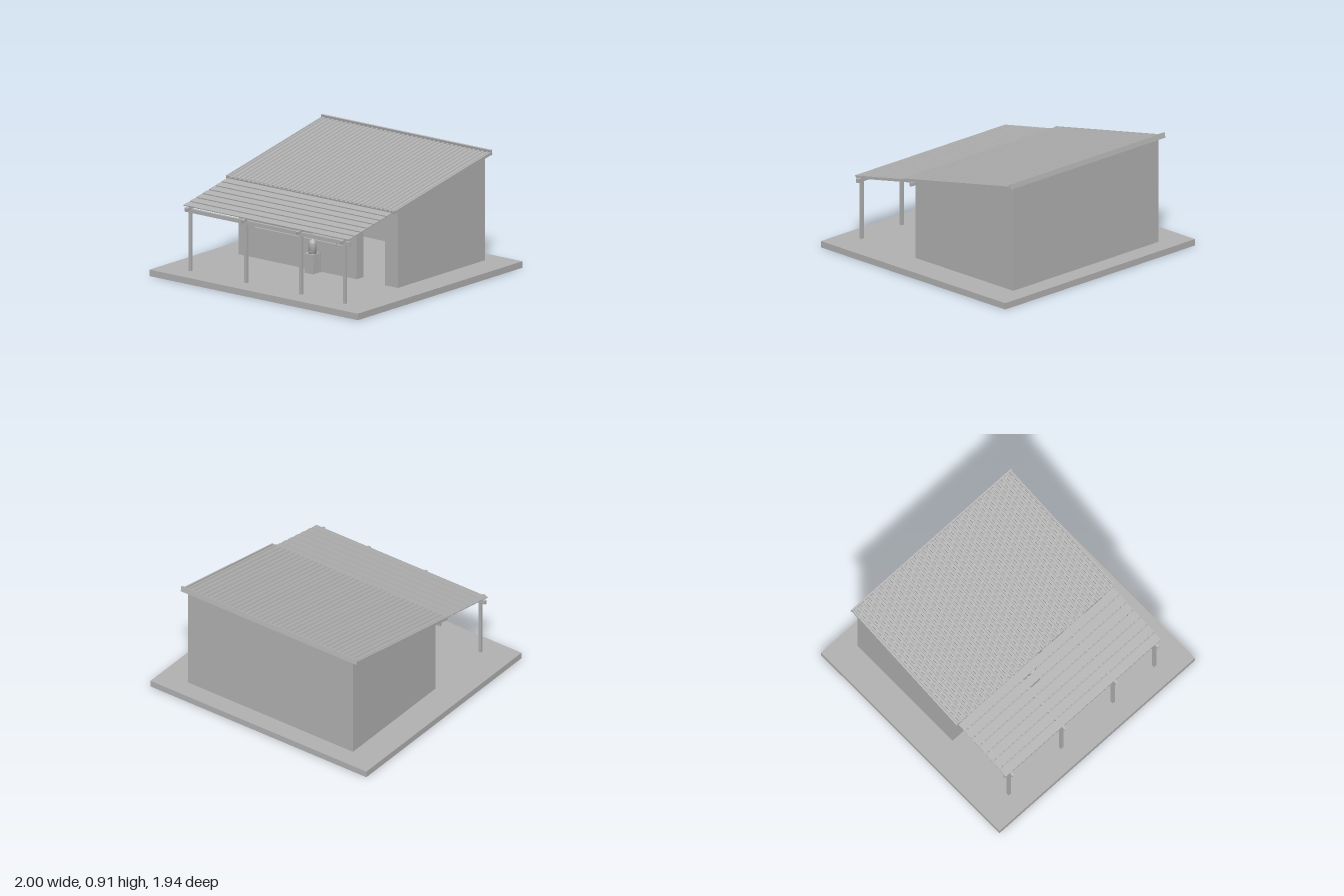
import * as THREE from 'three';

const grey = new THREE.MeshStandardMaterial({ color: 0xb2b2b2 });
grey.name = 'grey';

const SLOPE = 0.195, TILT = Math.atan(SLOPE);
const roofY = (z) => 0.707 - SLOPE * z; // underside of the main roof

export function createModel() {
  const model = new THREE.Group();
  model.name = 'shed';

  const add = (name, geometry, parent = model) => {
    const mesh = new THREE.Mesh(geometry, grey);
    mesh.name = name;
    parent.add(mesh);
    return mesh;
  };
  // Box given by its limits on each axis
  const box = (name, x0, x1, y0, y1, z0, z1, parent) => {
    const mesh = add(name, new THREE.BoxGeometry(x1 - x0, y1 - y0, z1 - z0), parent);
    mesh.position.set((x0 + x1) / 2, (y0 + y1) / 2, (z0 + z1) / 2);
    return mesh;
  };
  // Wall whose top follows the roof slope
  const wall = (name, x0, x1, y0, z0, z1) => {
    const g = new THREE.BoxGeometry(x1 - x0, 2, z1 - z0);
    g.translate((x0 + x1) / 2, 0, (z0 + z1) / 2);
    const p = g.attributes.position;
    for (let i = 0; i < p.count; i++) p.setY(i, p.getY(i) > 0 ? roofY(p.getZ(i)) + 0.003 : y0);
    g.computeVertexNormals();
    return add(name, g);
  };
  // Round bar between two points
  const rod = (name, a, b, r) => {
    const path = new THREE.LineCurve3(new THREE.Vector3(...a), new THREE.Vector3(...b));
    const mesh = add(name, new THREE.CylinderGeometry(r, r, path.getLength(), 10));
    mesh.position.copy(path.getPoint(0.5));
    mesh.quaternion.setFromUnitVectors(new THREE.Vector3(0, 1, 0), path.getTangent(0));
    return mesh;
  };

  // Ground slab
  box('groundSlab', -1, 1, 0, 0.05, -0.97, 0.97);

  // Walls, with a wide serving window and a doorway in the front
  const F0 = 0.13, F1 = 0.21;
  wall('rightWall', -0.765, -0.715, 0.05, -0.82, F1);
  wall('leftWall', 0.715, 0.765, 0.05, -0.82, F1);
  wall('backWall', -0.765, 0.765, 0.05, -0.82, -0.77);
  wall('frontPierRight', -0.765, -0.62, 0.05, F0, F1);
  wall('frontPierMiddle', 0.255, 0.37, 0.05, F0, F1);
  wall('frontPierLeft', 0.64, 0.765, 0.05, F0, F1);
  wall('frontHeader', -0.765, 0.765, 0.58, F0, F1);
  box('windowSill', -0.62, 0.255, 0.05, 0.285, F0, F1);

  // Main roof: ribbed metal sheet with trims
  const roof = new THREE.Group();
  roof.name = 'mainRoof';
  roof.position.set(0, roofY(-0.27), -0.27);
  roof.rotation.x = TILT;
  model.add(roof);
  const W = 0.805, L = 1.155, ribs = 38, pitch = (2 * W) / ribs;
  const profile = new THREE.Shape();
  profile.moveTo(-W, 0);
  profile.lineTo(W, 0);
  for (let i = ribs - 1; i >= 0; i--) {
    const x = -W + i * pitch;
    profile.lineTo(x + pitch, 0.01);
    profile.lineTo(x + pitch * 0.72, 0.01);
    profile.lineTo(x + pitch * 0.62, 0.021);
    profile.lineTo(x + pitch * 0.28, 0.021);
    profile.lineTo(x + pitch * 0.18, 0.01);
  }
  profile.lineTo(-W, 0.01);
  const sheet = new THREE.ExtrudeGeometry(profile, { depth: L, bevelEnabled: false });
  sheet.translate(0, 0, -L / 2);
  add('ribbedSheet', sheet, roof);
  box('lowerTrim', -0.813, 0.813, -0.003, 0.012, L / 2 - 0.01, L / 2 + 0.003, roof);
  box('ridgeCap', -0.815, 0.815, -0.004, 0.036, -L / 2 - 0.006, -L / 2 + 0.008, roof);
  for (const s of [-1, 1]) {
    const x = s * 0.807;
    box('sideTrim', x - 0.006, x + 0.006, -0.003, 0.02, -L / 2, L / 2, roof);
  }

  // Porch roof: rafters and overlapping boards
  const porch = new THREE.Group();
  porch.name = 'porchRoof';
  porch.position.set(0, 0.588, 0.535);
  porch.rotation.x = TILT;
  model.add(porch);
  const postX = [-0.745, -0.21, 0.318, 0.74];
  for (const x of postX) box('rafter', x - 0.01, x + 0.01, -0.013, 0.013, -0.32, 0.32, porch);
  for (let i = 0; i < 7; i++) {
    const z = 0.256 - i * 0.0765;
    const board = box('roofBoard', -0.795, 0.79, 0.013, 0.021, z - 0.033, z + 0.033, porch);
    board.rotation.x = -0.03;
  }

  // Porch frame
  for (const x of postX) box('porchPost', x - 0.012, x + 0.012, 0.05, 0.5, 0.79, 0.812);
  box('frontBeam', -0.795, 0.79, 0.5, 0.53, 0.79, 0.812);
  box('wallBeam', -0.795, 0.79, 0.615, 0.642, 0.228, 0.246);

  // Water stand with a domed canister and tap
  box('waterStand', -0.05, 0.03, 0.05, 0.2, 0.235, 0.31);
  const leaningBoard = box('leaningBoard', -0.045, 0.037, 0.05, 0.205, 0.222, 0.23);
  leaningBoard.rotation.x = 0.04;
  const sidePanel = box('sidePanel', 0.03, 0.036, 0.055, 0.2, 0.24, 0.305);
  sidePanel.rotation.z = 0.05;
  const canister = [[0, 0.2], [0.031, 0.2], [0.031, 0.275], [0.028, 0.293], [0.018, 0.304], [0.007, 0.308],
    [0.007, 0.318], [0, 0.32]].map(([r, y]) => new THREE.Vector2(r, y));
  add('canister', new THREE.LatheGeometry(canister, 24)).position.set(-0.006, 0, 0.27);
  rod('tap', [-0.006, 0.215, 0.295], [-0.006, 0.215, 0.317], 0.005);

  // Rake propped against the porch roof
  rod('rakeHandle', [0, 0.63, 0.28], [0.215, 0.29, 0.24], 0.007);
  box('rakeHead', 0.067, 0.255, 0.289, 0.296, 0.234, 0.244);
  for (let i = 0; i < 14; i++) {
    const x = 0.072 + i * 0.0138;
    box('rakeTooth', x - 0.002, x + 0.002, 0.282, 0.29, 0.236, 0.242);
  }

  // Cabinet inside the doorway
  box('cabinet', 0.54, 0.715, 0.05, 0.25, -0.1, 0.08);

  return model;
}
